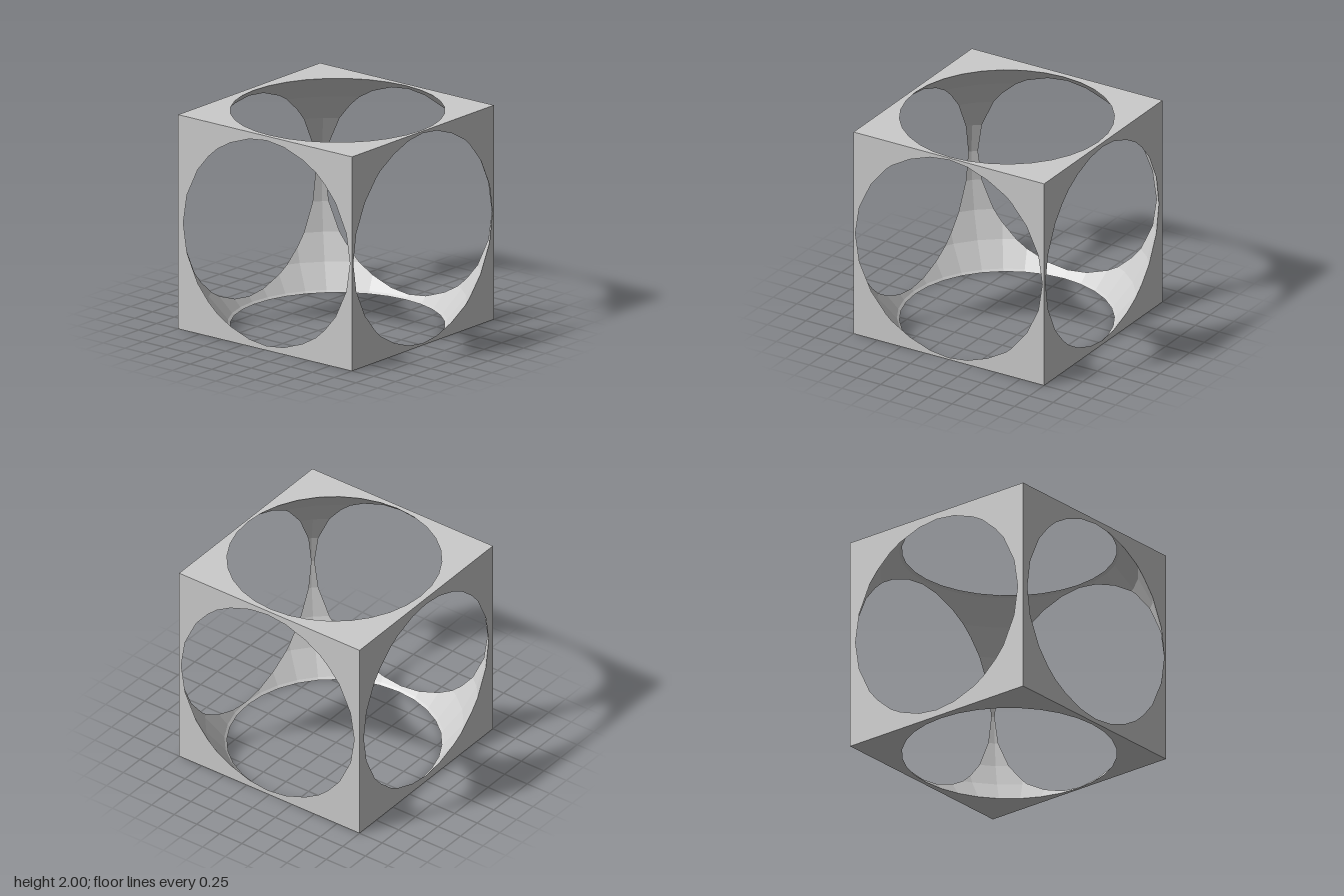
import * as THREE from 'three';

const R = 1.388, CENTRE_Z = 0.018, SEGMENTS = 32, RINGS = 16;

// Point on the faceted sphere that hollows out the cube
function spherePoint(ring, segment) {
  const p = new THREE.Vector3().setFromSphericalCoords(
    R, ring * Math.PI / RINGS, segment * 2 * Math.PI / SEGMENTS);
  p.z += CENTRE_Z;
  return p;
}

// Keep the part of a convex polygon where sign * p[axis] <= 1; cut points go into rim
function clip(polygon, axis, sign, rim) {
  const out = [];
  polygon.forEach((a, i) => {
    const b = polygon[(i + 1) % polygon.length];
    const da = sign * a[axis] - 1, db = sign * b[axis] - 1;
    if (da <= 0) out.push(a);
    if ((da <= 0) !== (db <= 0)) {
      const cut = a.clone().lerp(b, da / (da - db));
      out.push(cut);
      rim.push(cut);
    }
  });
  return out;
}

export function createModel() {
  const group = new THREE.Group();
  const material = new THREE.MeshStandardMaterial({ color: 0xcccccc, flatShading: true });

  const sides = [];
  [['x', 'y', 'z', 'left', 'right'], ['y', 'z', 'x', 'top', 'bottom'], ['z', 'x', 'y', 'front', 'back']]
    .forEach(([n, u, v, plus, minus]) => {
      sides.push({ n, u, v, sign: 1, name: plus, rim: [] });
      sides.push({ n, u: v, v: u, sign: -1, name: minus, rim: [] });
    });

  // Inner spherical hollow, facing the centre and trimmed by the cube
  const positions = [];
  for (let ring = 0; ring < RINGS; ring++) {
    for (let s = 0; s < SEGMENTS; s++) {
      let polygon = [spherePoint(ring, s), spherePoint(ring, s + 1),
        spherePoint(ring + 1, s + 1), spherePoint(ring + 1, s)];
      for (const side of sides) polygon = clip(polygon, side.n, side.sign, side.rim);
      for (let i = 1; i < polygon.length - 1; i++) {
        for (const p of [polygon[0], polygon[i], polygon[i + 1]]) positions.push(p.x, p.y, p.z);
      }
    }
  }
  const hollow = new THREE.BufferGeometry();
  hollow.setAttribute('position', new THREE.Float32BufferAttribute(positions, 3));
  hollow.computeVertexNormals();
  const inner = new THREE.Mesh(hollow, material);
  inner.name = 'sphericalHollow';
  group.add(inner);

  // Six square cube faces, each with the hole left by the hollow
  const unit = (axis, sign = 1) => {
    const vector = new THREE.Vector3();
    vector[axis] = sign;
    return vector;
  };
  for (const { n, u, v, sign, name, rim } of sides) {
    const points = rim.map(p => new THREE.Vector2(p[u], p[v]))
      .sort((a, b) => Math.atan2(a.y, a.x) - Math.atan2(b.y, b.x))
      .filter((p, i, all) => i === 0 || p.distanceTo(all[i - 1]) > 1e-4);
    if (points[0].distanceTo(points[points.length - 1]) < 1e-4) points.pop();
    const square = new THREE.Shape([[-1, -1], [1, -1], [1, 1], [-1, 1]]
      .map(([x, y]) => new THREE.Vector2(x, y)));
    square.holes.push(new THREE.Path(points));
    const geometry = new THREE.ShapeGeometry(square);
    geometry.translate(0, 0, 1);
    geometry.applyMatrix4(new THREE.Matrix4().makeBasis(unit(u), unit(v), unit(n, sign)));
    const face = new THREE.Mesh(geometry, material);
    face.name = name + 'Face';
    group.add(face);
  }

  // Stand the cube on the ground
  group.children.forEach(mesh => { mesh.position.y = 1; });
  group.name = 'hollowedCube';
  return group;
}
